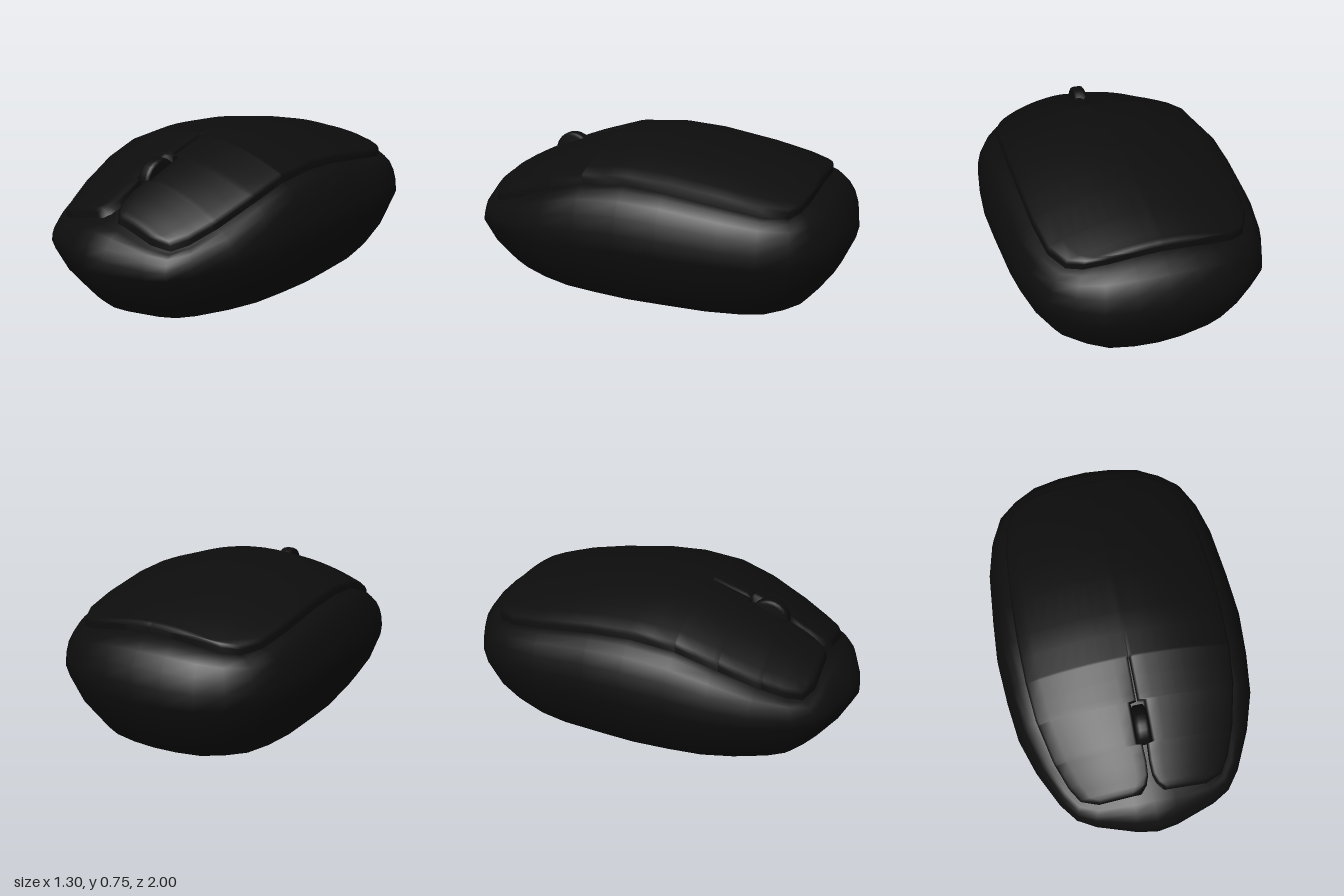
import * as THREE from 'three';

// Half outlines from back to front, [x, z]: widest line of the body and edge of the top shell
const WIDE = [[0, -1], [.15, -.99], [.3, -.96], [.42, -.89], [.52, -.8], [.58, -.66], [.62, -.48], [.64, -.2], [.65, 0],
  [.635, .22], [.61, .42], [.55, .6], [.46, .78], [.39, .87], [.3, .92], [.1, .985], [0, 1]];
const RIM = [[0, -.83], [.13, -.828], [.25, -.82], [.35, -.8], [.42, -.76], [.475, -.66], [.5, -.48], [.513, -.2], [.515, 0],
  [.51, .22], [.495, .4], [.45, .6], [.4, .73], [.355, .8], [.27, .835], [.1, .83], [0, .82]];

// Piecewise linear lookup in [position, value] pairs
function lookup(table, p) {
  if (p <= table[0][0]) return table[0][1];
  for (let i = 1; i < table.length; i++) {
    const [p0, v0] = table[i - 1], [p1, v1] = table[i];
    if (p <= p1) return v0 + (v1 - v0) * (p - p0) / (p1 - p0);
  }
  return table[table.length - 1][1];
}

const SPINE = [[-1, .55], [-.8, .61], [-.66, .655], [-.48, .695], [-.2, .74], [0, .752], [.22, .735], [.42, .67],
  [.6, .6], [.73, .535], [.84, .475], [1, .38]];
const CROWN = [[-.8, .4], [0, .42], [.4, .46], [.8, .7]];
const topHeight = (x, z) => lookup(SPINE, z) - lookup(CROWN, z) * x * x;

const mirrorLoop = half => [...half, ...half.slice(1, -1).reverse().map(([x, z]) => [-x, z])];

// Smooth surface through rows of points
function skin(rows, closed) {
  const n = rows[0].length, index = [];
  for (let r = 0; r < rows.length - 1; r++) {
    for (let k = 0; k < (closed ? n : n - 1); k++) {
      const a = r * n + k, b = r * n + (k + 1) % n;
      index.push(a, a + n, b, b, a + n, b + n);
    }
  }
  const geometry = new THREE.BufferGeometry();
  geometry.setAttribute('position', new THREE.Float32BufferAttribute(rows.flat(2), 3));
  geometry.setIndex(index);
  geometry.computeVertexNormals();
  return geometry;
}

function bodyGeometry() {
  const wide = mirrorLoop(WIDE), rim = mirrorLoop(RIM), rows = [];
  const wideHeight = z => lookup([[-1, .3], [0, .32], [1, .25]], z);
  // Underside and lower flank: x scale, z scale, share of the widest height
  for (const [sx, sz, h] of [[0, 0, 0], [.71, .78, 0], [.77, .83, .03], [.83, .87, .19], [.925, .94, .53]]) {
    rows.push(wide.map(([x, z]) => [x * sx, h * wideHeight(z), z * sz]));
  }
  // Upper flank: a quarter ellipse from the widest line in to the shell rim
  for (let i = 0; i <= 5; i++) {
    const a = i / 5 * Math.PI / 2, inward = 1 - Math.cos(a), up = Math.sin(a);
    rows.push(wide.map(([x, z], j) => {
      const [rx, rz] = rim[j], y0 = wideHeight(z), y1 = topHeight(rx, rz) - .04;
      return [x + (rx - x) * inward, y0 + (y1 - y0) * up, z + (rz - z) * inward];
    }));
  }
  // Deck under the shell
  for (const s of [.9, .75, .5, .25, 0]) {
    rows.push(rim.map(([x, z]) => [x * s, topHeight(x * s, z * s) - .04, z * s]));
  }
  return skin(rows, true);
}

function shellGeometry() {
  const edge = RIM.slice(1, 15).map(([x, z]) => [z, x]);
  // Half width of the central slit, wheel slot and front notch
  const gap = [[.22, .004], [.425, .005], [.43, .038], [.62, .038], [.625, .012], [.7, .008], [.76, .012], [.8, .03], [.835, .07]];
  const zs = [...edge.map(e => e[0]), -.35, .1, .23, .32, .425, .43, .52, .62, .625, .67, .7, .76, .82].sort((a, b) => a - b);
  const makeRow = (z, extraDrop) => {
    const outer = lookup(edge, z), inner = lookup(gap, z);
    const valley = z > .22 ? .06 : 0;
    const half = [[inner * .7, valley], [inner, valley ? .008 : 0], [inner + .012, 0]];
    for (let i = 1; i <= 8; i++) half.push([inner + .012 + (outer - .024 - inner) * i / 8, 0]);
    half.push([outer, .014], [outer, .065]);
    const full = [...half.slice().reverse().map(([x, d]) => [-x, d]), ...half];
    return full.map(([x, d]) => [x, topHeight(x, z) - Math.max(d, extraDrop), z]);
  };
  const first = zs[0], last = zs[zs.length - 1];
  return skin([
    makeRow(first, .065), makeRow(first, .014),
    ...zs.slice(1, -1).map(z => makeRow(z, 0)),
    makeRow(last, .01), makeRow(last, .065)
  ], false);
}

export function createModel() {
  const group = new THREE.Group();
  const black = new THREE.MeshStandardMaterial({ color: 0x0d0d0d });
  black.name = 'black plastic';
  const add = (name, geometry) => {
    const mesh = new THREE.Mesh(geometry, black);
    mesh.name = name;
    group.add(mesh);
    return mesh;
  };

  add('body', bodyGeometry());
  add('topShell', shellGeometry());

  // Scroll wheel with softened rims, turning about the x axis
  const profile = [[0, -.035], [.085, -.035], [.097, -.027], [.1, -.015], [.1, .015], [.097, .027], [.085, .035], [0, .035]];
  const wheel = add('scrollWheel', new THREE.LatheGeometry(profile.map(p => new THREE.Vector2(...p)), 24));
  wheel.rotation.z = Math.PI / 2;
  wheel.position.set(0, .572, .525);
  return group;
}
